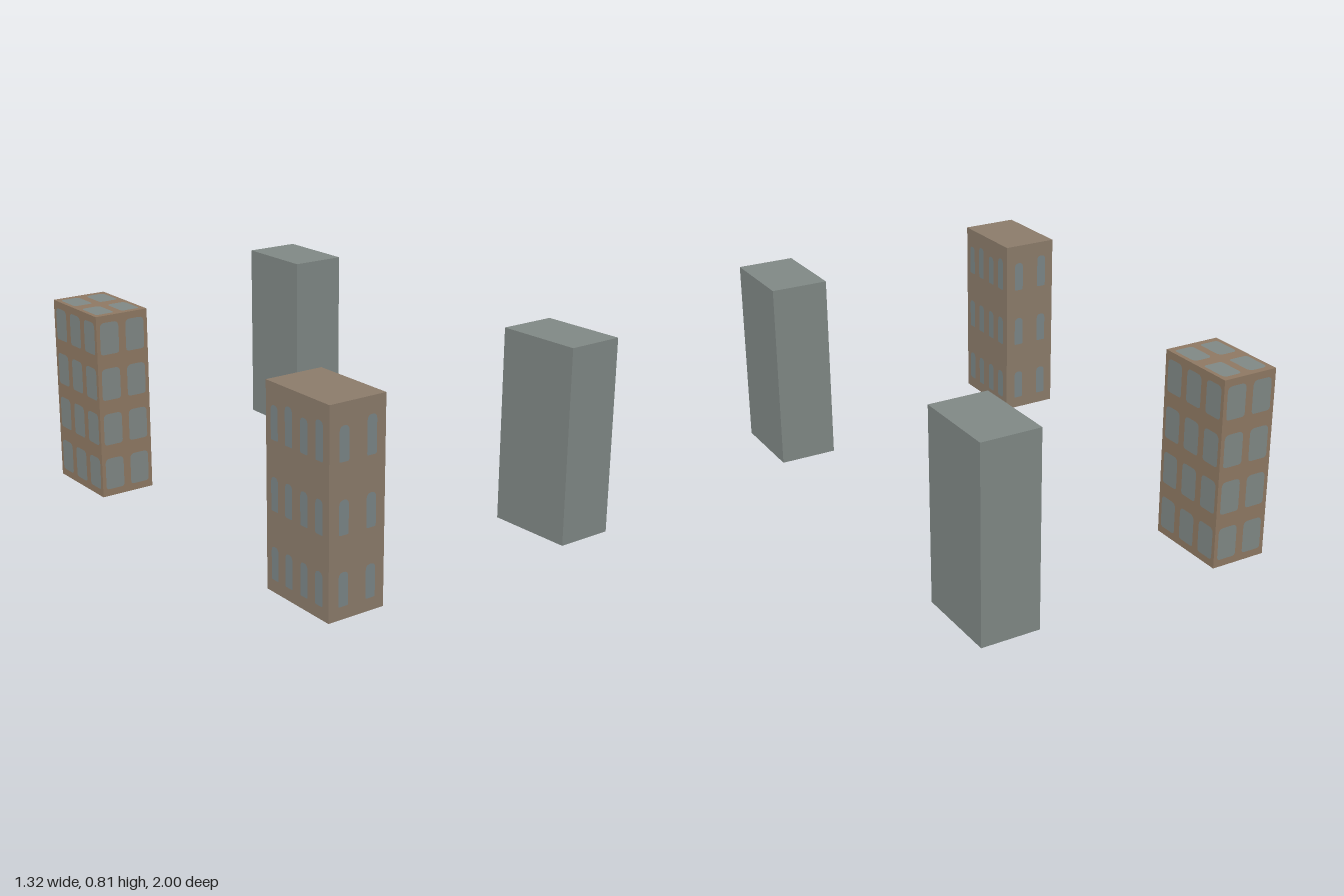
import * as THREE from 'three';

const W = 0.232, H = 0.76, D = 0.348;

const grey = new THREE.MeshStandardMaterial({ name: 'grey wall', color: 0x7f8784 });
const brown = new THREE.MeshStandardMaterial({ name: 'brown wall', color: 0x8b7b6a });
const glass = new THREE.MeshStandardMaterial({ name: 'window glass', color: 0x7a8586 });
const frame = new THREE.MeshStandardMaterial({ name: 'window frame', color: 0x8e7862 });

function block(name, material, inset = 0) {
  const geo = new THREE.BoxGeometry(W - inset * 2, H - inset, D - inset * 2);
  geo.translate(0, -inset / 2, 0);
  const mesh = new THREE.Mesh(geo, material);
  mesh.name = name;
  return mesh;
}

// Rectangle outline with rounded corners, separate radii for top and bottom
function rounded(target, cx, cy, w, h, rTop, rBottom) {
  const l = cx - w / 2, r = cx + w / 2, b = cy - h / 2, t = cy + h / 2;
  target.moveTo(l + rBottom, b);
  target.lineTo(r - rBottom, b);
  target.quadraticCurveTo(r, b, r, b + rBottom);
  target.lineTo(r, t - rTop);
  target.quadraticCurveTo(r, t, r - rTop, t);
  target.lineTo(l + rTop, t);
  target.quadraticCurveTo(l, t, l, t - rTop);
  target.lineTo(l, b + rBottom);
  target.quadraticCurveTo(l, b, l + rBottom, b);
  return target;
}

// Calls make(width) for the four walls and turns each result outward
function onWalls(tower, out, make) {
  for (let i = 0; i < 4; i++) {
    const side = i % 2 === 1;
    const wall = make(side);
    wall.rotation.y = i * Math.PI / 2;
    wall.position.set(0, 0, (side ? W : D) / 2 + out).applyAxisAngle(new THREE.Vector3(0, 1, 0), 0);
    const d = wall.position.z;
    wall.position.set(Math.sin(wall.rotation.y) * d, 0, Math.cos(wall.rotation.y) * d);
    tower.add(wall);
  }
}

// Flat lattice with rounded openings
function lattice(name, w, h, cols, rows, gapX, gapY) {
  const shape = new THREE.Shape();
  shape.moveTo(-w / 2, -h / 2);
  shape.lineTo(w / 2, -h / 2);
  shape.lineTo(w / 2, h / 2);
  shape.lineTo(-w / 2, h / 2);
  const cw = w / cols, ch = h / rows;
  for (let c = 0; c < cols; c++) {
    for (let r = 0; r < rows; r++) {
      const cx = (c + 0.5) * cw - w / 2, cy = (r + 0.5) * ch - h / 2;
      shape.holes.push(rounded(new THREE.Path(), cx, cy, cw - gapX, ch - gapY, 0.022, 0.014));
    }
  }
  const mesh = new THREE.Mesh(new THREE.ShapeGeometry(shape, 5), frame);
  mesh.name = name;
  return mesh;
}

// Brown tower with small arched windows
function archedTower() {
  const tower = new THREE.Group();
  tower.name = 'archedTower';
  tower.add(block('archedTowerWalls', brown));
  onWalls(tower, 0.0015, (side) => {
    const shapes = [];
    const columns = side ? [-0.125, -0.045, 0.04, 0.122] : [-0.056, 0.058];
    columns.forEach((x, c) => {
      [-0.27, -0.015, 0.24].forEach((y, r) => {
        const h = r === 2 && c % 2 === 1 ? 0.14 : 0.124;
        shapes.push(rounded(new THREE.Shape(), x, y + (h - 0.124) / 2, 0.04, h, 0.02, 0.006));
      });
    });
    const mesh = new THREE.Mesh(new THREE.ShapeGeometry(shapes, 5), glass);
    mesh.name = 'archedWindows';
    return mesh;
  });
  return tower;
}

// Glazed tower with a brown lattice on its walls and roof
function glazedTower() {
  const tower = new THREE.Group();
  tower.name = 'glazedTower';
  tower.add(block('glazedTowerCore', grey, 0.002));
  onWalls(tower, 0, (side) => lattice('wallLattice', side ? D : W, H, side ? 3 : 2, 4, 0.032, 0.058));
  const roof = lattice('roofLattice', W, D, 2, 2, 0.034, 0.052);
  roof.rotation.x = -Math.PI / 2;
  roof.position.y = H / 2;
  tower.add(roof);
  return tower;
}

export function createModel() {
  const model = new THREE.Group();
  model.name = 'towers';
  const place = (tower, x, bottom, z) => {
    tower.position.set(x, bottom + H / 2, z);
    model.add(tower);
  };
  place(archedTower(), -0.545, 0.05, 0.825);
  place(glazedTower(), -0.512, 0, -0.728);
  place(block('plainTowerFront', grey), 0.543, 0.05, 0.826);
  place(block('plainTowerBack', grey), 0.543, 0.05, -0.826);
  return model;
}
